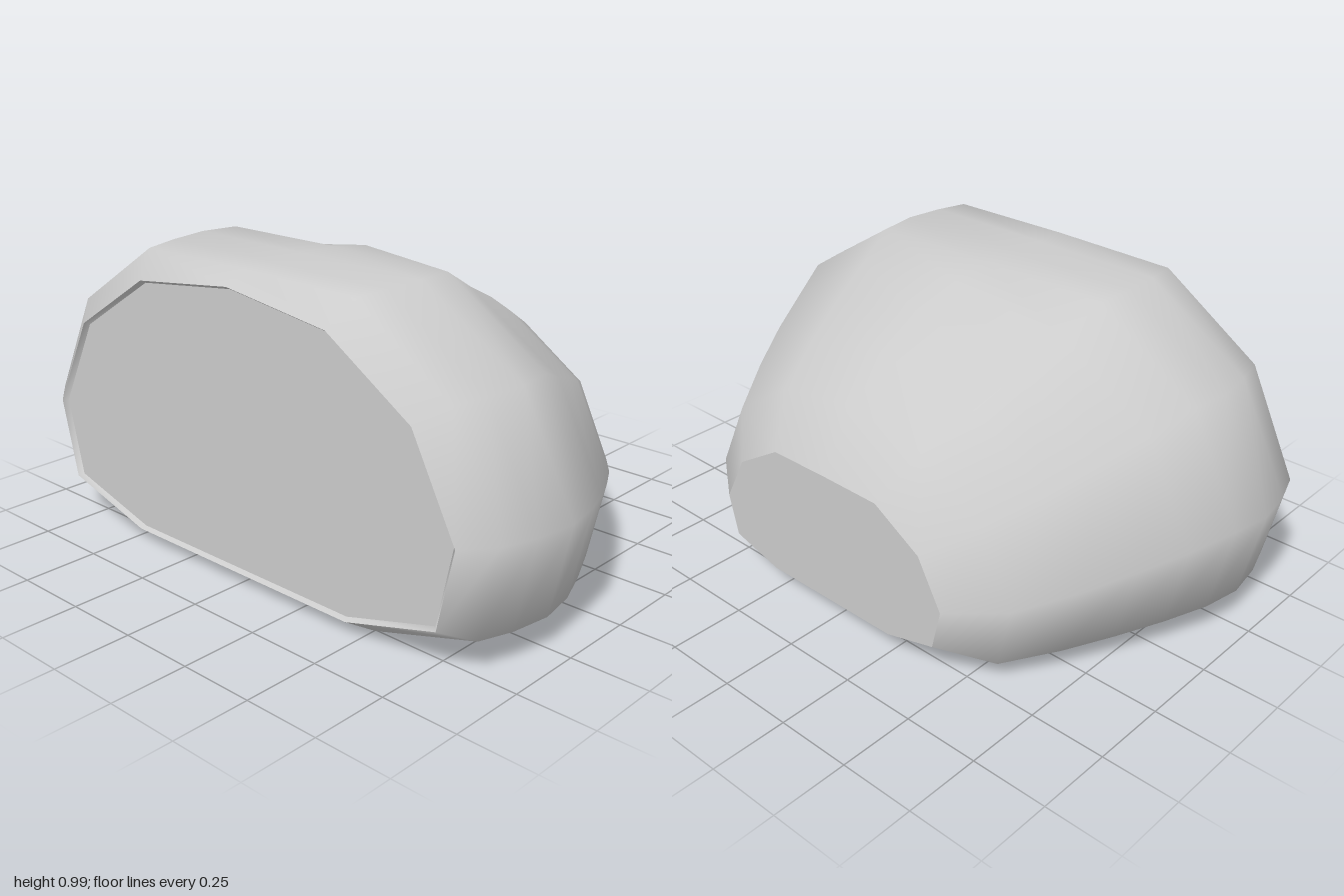
import * as THREE from 'three';

// Stations from front to back: z, half width, top centre y, shoulder y, bottom y
const STATIONS = [
  [0.585, 0.85, 0.943, 0.893, 0.045],
  [0.51, 0.94, 0.98, 0.975, 0.004],
  [0.4, 0.978, 0.983, 0.981, 0],
  [0.27, 1.0, 0.986, 0.985, 0],
  [0.14, 0.975, 0.985, 0.981, 0],
  [0, 0.912, 0.965, 0.906, 0],
  [-0.15, 0.835, 0.897, 0.838, 0],
  [-0.3, 0.748, 0.812, 0.758, 0],
  [-0.465, 0.632, 0.715, 0.67, 0],
  [-0.583, 0.47, 0.525, 0.523, 0.075],
];

// Half section below the top centre: x as a share of width, y as a share of height
const SECTION = [[0.46, 1], [0.82, 0.77], [1, 0.417], [0.93, 0.111], [0.54, 0]];

// Eleven-sided ring, running clockwise from the top as seen from the front
function ring([z, w, top, shoulder, bottom]) {
  const half = SECTION.map(([fx, fy]) => new THREE.Vector3(fx * w, bottom + fy * (shoulder - bottom), z));
  const mirrored = half.map((p) => new THREE.Vector3(-p.x, p.y, z)).reverse();
  return [new THREE.Vector3(0, top, z), ...half, ...mirrored];
}

// Smooth skin through a list of rings
function loft(rings) {
  const n = rings[0].length;
  const index = [];
  for (let r = 0; r < rings.length - 1; r++) {
    for (let i = 0; i < n; i++) {
      const j = (i + 1) % n;
      const a = r * n + i, b = r * n + j, c = a + n, d = b + n;
      index.push(a, b, c, b, d, c);
    }
  }
  const geometry = new THREE.BufferGeometry().setFromPoints(rings.flat());
  geometry.setIndex(index);
  geometry.computeVertexNormals();
  return geometry;
}

// Flat panel filling a ring
function panel(points) {
  return new THREE.ShapeGeometry(new THREE.Shape(points.map((p) => new THREE.Vector2(p.x, p.y))));
}

export function createModel() {
  const group = new THREE.Group();
  const material = new THREE.MeshStandardMaterial({ color: 0xcccccc });
  const add = (name, geometry) => {
    const mesh = new THREE.Mesh(geometry, material);
    mesh.name = name;
    group.add(mesh);
    return mesh;
  };

  // Rounded body tapering to the back
  const rings = STATIONS.map(ring);
  add('bodyShell', loft(rings));

  // Shallow lip and recessed front panel
  const rim = rings[0];
  const inset = rim.map((p) => new THREE.Vector3(p.x * 0.983, 0.47 + (p.y - 0.47) * 0.98, p.z - 0.015));
  add('frontLip', loft([inset, rim]));
  add('frontPanel', panel(inset)).position.z = inset[0].z;

  // Flat back end
  const back = rings[rings.length - 1];
  const backPanel = add('backPanel', panel(back));
  backPanel.rotation.y = Math.PI;
  backPanel.position.z = back[0].z;

  return group;
}
